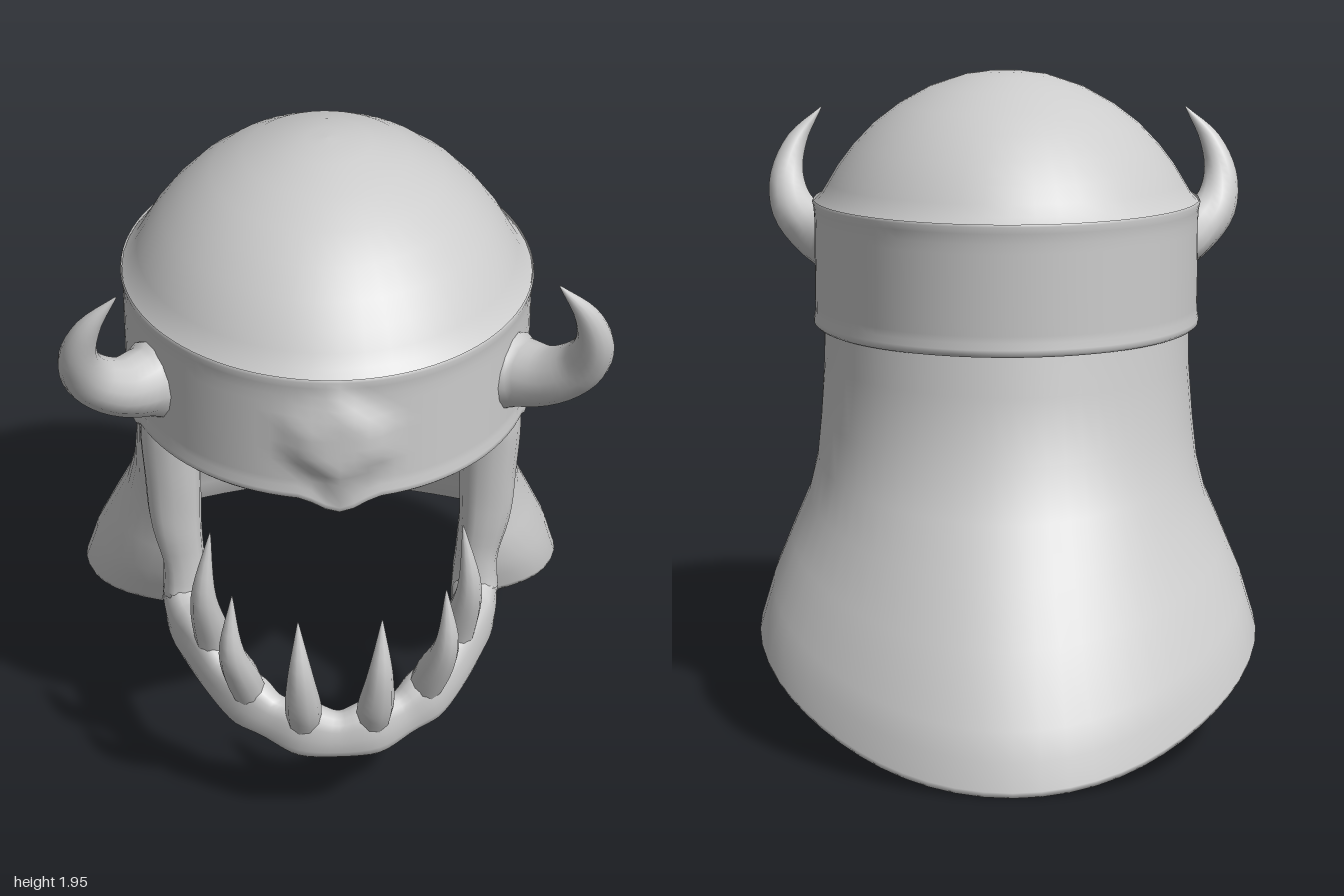
import * as THREE from 'three';

// Smooth surface from rows of points; wrap joins the last column to the first
function grid(rows, wrap) {
  const n = rows[0].length, pos = [], idx = [];
  rows.forEach(r => r.forEach(p => pos.push(p.x, p.y, p.z)));
  for (let i = 0; i < rows.length - 1; i++) {
    for (let j = 0; j < (wrap ? n : n - 1); j++) {
      const k = (j + 1) % n;
      const a = i * n + j, b = i * n + k, c = a + n, d = b + n;
      idx.push(a, b, c, b, d, c);
    }
  }
  const g = new THREE.BufferGeometry();
  g.setAttribute('position', new THREE.Float32BufferAttribute(pos, 3));
  g.setIndex(idx);
  g.computeVertexNormals();
  return g;
}

// Sweep of ovals; each station is [x, y, z, half width, half height]; power below 1 squares the section
function sweep(stations, steps, sides, outward, power = 1) {
  const path = new THREE.CatmullRomCurve3(stations.map(s => new THREE.Vector3(s[0], s[1], s[2])));
  const size = new THREE.CatmullRomCurve3(stations.map(s => new THREE.Vector3(s[3], s[4] ?? s[3], 0)));
  const round = v => Math.sign(v) * Math.pow(Math.abs(v), power);
  const rows = [];
  for (let i = 0; i <= steps; i++) {
    const p = path.getPoint(i / steps), s = size.getPoint(i / steps);
    const t = path.getTangent(i / steps);
    const n = outward(p);
    n.addScaledVector(t, -n.dot(t)).normalize();
    const b = t.clone().cross(n);
    const row = [];
    for (let j = 0; j < sides; j++) {
      const a = j / sides * Math.PI * 2;
      row.push(p.clone().addScaledVector(n, round(Math.cos(a)) * s.x).addScaledVector(b, round(Math.sin(a)) * s.y));
    }
    rows.push(row);
  }
  return grid(rows, true);
}

// Rings of an oval helmet section from [radius, y] pairs
function ovalRings(profile, sides, shape = p => p) {
  return profile.map(([r, y]) => Array.from({ length: sides }, (_, j) => {
    const a = j / sides * Math.PI * 2;
    return shape(new THREE.Vector3(Math.sin(a) * r, y, 0.22 + Math.cos(a) * r * 1.165));
  }));
}

export function createModel() {
  const group = new THREE.Group();
  const grey = new THREE.MeshStandardMaterial({ color: 0xcccccc, side: THREE.DoubleSide });
  grey.name = 'light grey';
  const add = (name, geometry) => {
    const m = new THREE.Mesh(geometry, grey);
    m.name = name;
    group.add(m);
  };

  // Dome
  add('dome', grid(ovalRings([
    [0.597, 1.55], [0.573, 1.575], [0.552, 1.61], [0.522, 1.66], [0.475, 1.722], [0.41, 1.79],
    [0.335, 1.847], [0.24, 1.9], [0.13, 1.937], [0.06, 1.947], [0.0005, 1.95]], 48), true));

  // Head band with a raised brow plate, a small point over the face and a small tab over each cheek
  const bandProfile = [[0.56, 1.54], [0.565, 1.19], [0.575, 1.17], [0.592, 1.168], [0.6, 1.176], [0.6, 1.19], [0.596, 1.21]];
  for (let y = 1.23; y < 1.51; y += 0.03) bandProfile.push([0.596, y]);
  bandProfile.push([0.598, 1.53], [0.602, 1.55], [0.598, 1.558]);
  const { smoothstep } = THREE.MathUtils;
  add('headBand', grid(ovalRings(bandProfile, 96, p => {
    if (p.y < 1.22) p.y -= 0.025 * smoothstep(0.09 - Math.abs(p.z - 0.4), 0, 0.06);
    if (p.z > 0.6) {
      const d = Math.max(Math.abs(p.x) / 0.18, Math.abs(p.x) / 0.28 + Math.abs(p.y - 1.36) / 0.19);
      if (Math.hypot(p.x / 0.6, (p.z - 0.22) / 0.7) > 0.97) p.z += 0.037 * smoothstep(1 - d, 0, 0.55);
      if (p.y < 1.22) p.y -= 0.042 * smoothstep(0.12 - Math.abs(p.x), 0, 0.12);
    }
    return p;
  }), true));

  // Neck guard rows: back y, front y, half width, centre z, back depth, front depth, end angle, diagonal pinch
  const guard = [
    [1.22, 1.22, 0.565, 0.15, 0.59, 0.46, 2.1, 0],
    [1.05, 1.08, 0.565, 0.13, 0.6, 0.5, 2.1, 0],
    [0.85, 0.93, 0.575, 0.1, 0.61, 0.53, 2.15, 0],
    [0.7, 0.82, 0.585, 0.05, 0.66, 0.6, 2.2, 0.01],
    [0.55, 0.73, 0.61, 0, 0.71, 0.65, 2.27, 0.02],
    [0.38, 0.64, 0.66, -0.06, 0.765, 0.73, 2.33, 0.03],
    [0.18, 0.54, 0.715, -0.13, 0.81, 0.785, 2.38, 0.04],
    [0.1, 0.48, 0.735, -0.15, 0.818, 0.77, 2.4, 0.045],
    [0.02, 0.42, 0.755, -0.17, 0.825, 0.755, 2.4, 0.045],
    [0.005, 0.405, 0.75, -0.17, 0.825, 0.75, 2.39, 0.045],
  ];
  const inner = guard.slice(0, -1).reverse().map(([yb, yf, a, zc, b, ...rest]) =>
    [yb, yf, a - 0.025, zc, b - 0.025, ...rest]);
  add('neckGuard', grid([...guard, ...inner].map(([yb, yf, a, zc, b, f, end, pinch]) => {
    const row = [];
    for (let j = 0; j <= 44; j++) {
      const t = end * (j / 22 - 1), c = Math.cos(t), low = Math.cos(end);
      const lift = 1 - Math.pow(Math.max(0, (c - low) / (1 - low)), 1.4);
      const k = c > 0 ? 1 - pinch * Math.sin(2 * t) ** 2 : 1;
      const depth = c > 0 ? c * b * k : c * f * (1 - 0.35 * c * c);
      row.push(new THREE.Vector3(a * k * Math.sin(t), yb + (yf - yb) * lift, zc - depth));
    }
    return row;
  }), false));

  // Jaw bone: broad cheek straps and a knobbly lower jaw, mirrored about the chin
  const half = [
    [0.47, 1.2, 0.4, 0.085, 0.17], [0.47, 1.12, 0.41, 0.088, 0.16], [0.465, 0.98, 0.435, 0.083, 0.122],
    [0.46, 0.84, 0.452, 0.076, 0.092], [0.44, 0.69, 0.447, 0.062, 0.088],
    [0.435, 0.55, 0.455, 0.07, 0.105], [0.42, 0.515, 0.56, 0.065, 0.092],
    [0.385, 0.51, 0.66, 0.06, 0.095], [0.34, 0.462, 0.74, 0.05, 0.078],
    [0.26, 0.415, 0.81, 0.055, 0.092], [0.19, 0.38, 0.85, 0.045, 0.073],
    [0.1, 0.36, 0.885, 0.055, 0.088],
  ];
  const mirrored = half.slice().reverse().map(([x, ...rest]) => [-x, ...rest]);
  add('jawBone', sweep([...half, [0, 0.343, 0.895, 0.048, 0.072], ...mirrored], 100, 16,
    p => new THREE.Vector3(p.x, 0, Math.max(0, p.z - 0.45)), 0.75));

  const teeth = [
    [[0.1, 0.39, 0.89, 0.05], [0.105, 0.47, 0.93, 0.053], [0.115, 0.62, 0.972, 0.036], [0.12, 0.785, 0.953, 0.002]],
    [[0.25, 0.43, 0.81, 0.05], [0.275, 0.52, 0.85, 0.052], [0.31, 0.67, 0.912, 0.036], [0.305, 0.85, 0.907, 0.002]],
    [[0.355, 0.51, 0.69, 0.05], [0.365, 0.6, 0.715, 0.052], [0.385, 0.77, 0.775, 0.036], [0.362, 0.98, 0.775, 0.002]],
  ];
  const horn = [
    [0.47, 1.37, 0.53, 0.1], [0.54, 1.37, 0.58, 0.1], [0.62, 1.4, 0.65, 0.083],
    [0.69, 1.47, 0.71, 0.072], [0.712, 1.57, 0.77, 0.055], [0.68, 1.68, 0.81, 0.034], [0.6, 1.785, 0.83, 0.002],
  ];
  for (const [side, s] of [['left', 1], ['right', -1]]) {
    const flip = list => list.map(([x, ...rest]) => [s * x, ...rest]);
    // Tusks on the jaw
    teeth.forEach((t, i) => add(`${side}Tooth${i + 1}`,
      sweep(flip(t), 14, 10, () => new THREE.Vector3(1, 0, 0))));
    // Curved horn on the band
    add(`${side}Horn`, sweep(flip(horn), 24, 14, () => new THREE.Vector3(0, 0, 1)));
  }
  return group;
}
